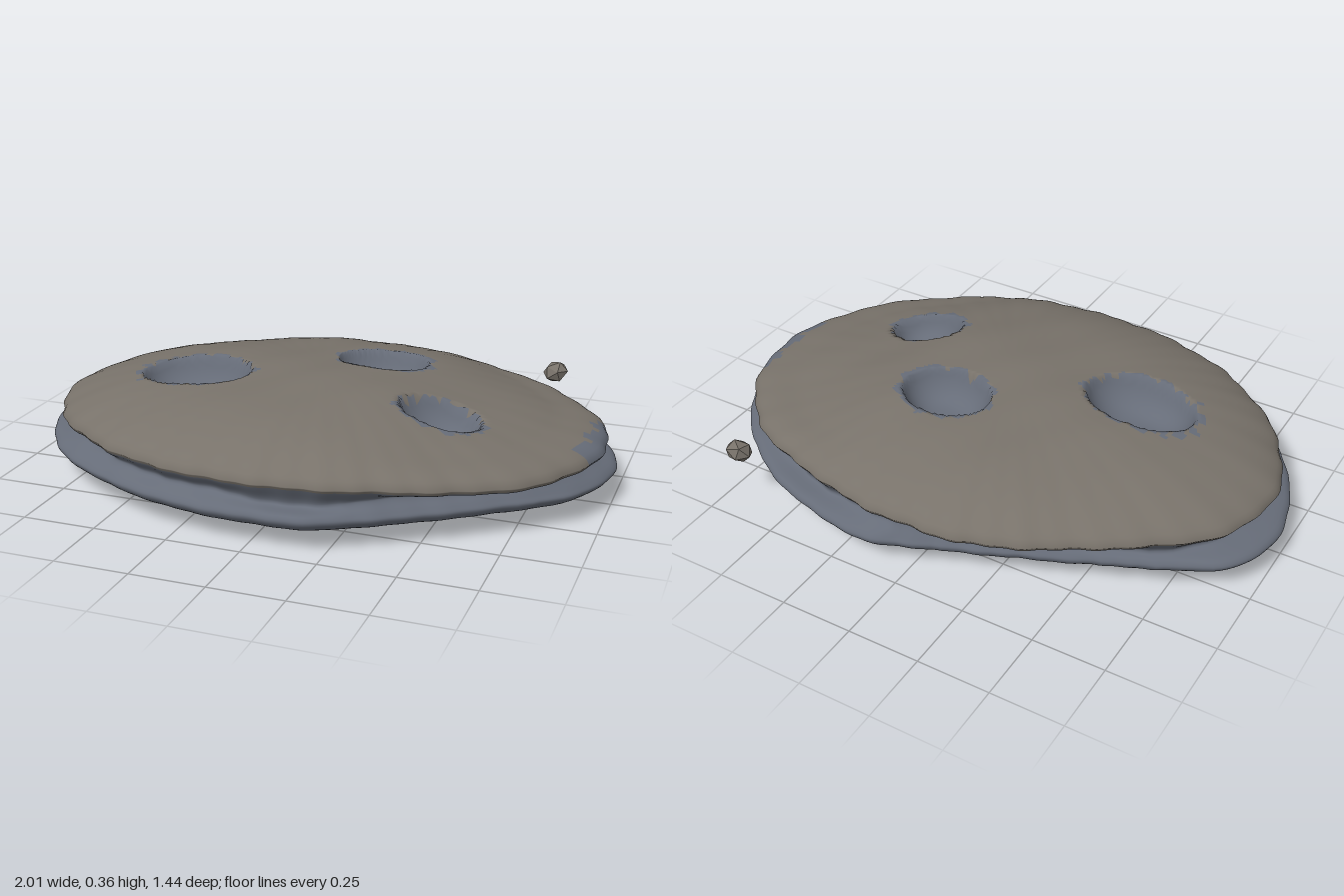
import * as THREE from 'three';

const SEGS = 240, TOP_ROWS = 70, SIDE_ROWS = 44;
const smooth = THREE.MathUtils.smoothstep;

// Outlines of the two stacked slabs, seen from above as [x, z]
const upperOutline = [[0.97, -0.03], [0.94, 0.12], [0.86, 0.29], [0.7, 0.45], [0.4, 0.61], [0.2, 0.67], [0, 0.69],
  [-0.2, 0.68], [-0.4, 0.635], [-0.6, 0.54], [-0.8, 0.37], [-0.91, 0.19], [-0.95, 0], [-0.91, -0.17], [-0.8, -0.32],
  [-0.6, -0.47], [-0.4, -0.59], [-0.2, -0.67], [0, -0.69], [0.2, -0.68], [0.4, -0.63], [0.62, -0.55], [0.8, -0.42], [0.93, -0.23]];
const lowerOutline = [[1, -0.04], [0.98, 0.08], [0.91, 0.21], [0.6, 0.46], [0.3, 0.65], [0.2, 0.7], [0, 0.715],
  [-0.2, 0.7], [-0.4, 0.65], [-0.6, 0.56], [-0.8, 0.42], [-0.9, 0.28], [-0.97, 0.13], [-1, -0.02], [-0.985, -0.13],
  [-0.93, -0.25], [-0.8, -0.33], [-0.35, -0.53], [0.05, -0.69], [0.13, -0.72], [0.3, -0.7], [0.5, -0.645], [0.68, -0.55],
  [0.82, -0.43], [0.92, -0.3], [0.98, -0.17]];

// Bowl-shaped pits sunk into the top
const pits = [
  { x: -0.425, z: 0.105, rx: 0.195, rz: 0.14, depth: 0.12 },
  { x: 0.155, z: -0.185, rx: 0.16, rz: 0.12, depth: 0.11 },
  { x: 0.46, z: 0.165, rx: 0.135, rz: 0.105, depth: 0.1 },
];

// Radius of a closed outline at each segment's angle
function outlineRadii(outline) {
  const curve = new THREE.CatmullRomCurve3(outline.map(([x, z]) => new THREE.Vector3(x, 0, z)), true, 'centripetal');
  const samples = curve.getPoints(1500);
  return Array.from({ length: SEGS }, (_, i) => {
    const a = (i / SEGS) * Math.PI * 2, c = Math.cos(a), s = Math.sin(a);
    let best = samples[0], bestDot = -1;
    for (const p of samples) {
      const dot = (p.x * c + p.z * s) / p.length();
      if (dot > bestDot) { bestDot = dot; best = p; }
    }
    return best.length();
  });
}

const lumps = (x, z) => 0.003 * (Math.sin(9 * x + 4 * z) + Math.sin(13 * z - 6 * x + 1) + 0.6 * Math.sin(23 * x + 17 * z));
const pitDistance = (p, x, z) => Math.hypot((x - p.x) / p.rx, (z - p.z) / p.rz);
const rimHeight = x => 0.205 - 0.025 * smooth(x, 0.3, 0.9) - 0.012 * smooth(-x, 0.6, 0.95);

function topHeight(x, z, rho) {
  let y = rimHeight(x) + 0.155 * Math.pow(1 - Math.pow(rho, 2.4), 0.62);
  y -= 0.025 * smooth(x, 0.25, 0.6) * (1 - smooth(rho, 0.8, 1));
  y += lumps(x, z) * (1 - rho * rho);
  for (const p of pits) {
    const d = pitDistance(p, x, z);
    if (d < 1) y -= p.depth * Math.pow(1 - Math.pow(d, 3), 0.8);
  }
  return y;
}

// Bare stone shows in the pits, along their ragged rims and on the worn right edge
function isBare(x, z) {
  const ragged = 0.07 * Math.sin(71 * x + 53 * z) + 0.06 * Math.sin(97 * z - 61 * x);
  if (pits.some(p => pitDistance(p, x, z) < 1.08 + ragged)) return true;
  return x > 0.9 + ragged * 0.25 && z > -0.26 && z < 0.12;
}

function createStone() {
  const upper = outlineRadii(upperOutline), lower = outlineRadii(lowerOutline);
  const rows = TOP_ROWS + SIDE_ROWS, stride = rows + 1;
  const positions = [], crust = [], bare = [];

  for (let i = 0; i < SEGS; i++) {
    const a = (i / SEGS) * Math.PI * 2, c = Math.cos(a), s = Math.sin(a);
    const chip = 0.004 * Math.sin(17 * a) + 0.003 * Math.sin(41 * a + 1);
    const U = upper[i] + chip, L = lower[i] - chip * 0.5, G = Math.min(U, L) * 0.95;
    const rim = rimHeight(U * c), wave = 0.01 * Math.sin(3 * a + 0.5) + 0.005 * Math.sin(8 * a);
    // Domed top
    for (let j = 0; j < TOP_ROWS; j++) {
      const t = j / TOP_ROWS, rho = t * (1.25 - 0.25 * t), r = rho * U;
      positions.push(r * c, topHeight(r * c, r * s, rho), r * s);
    }
    // Upper rim, groove, lower rim and underside
    const side = new THREE.CatmullRomCurve3([
      [U, rim], [U * 0.985, rim - 0.017], [G, 0.158 + wave], [G * 1.005, 0.145 + wave], [L * 0.985, 0.122],
      [L, 0.103], [L * 0.975, 0.078], [L * 0.86, 0.045], [L * 0.6, 0.02], [L * 0.3, 0.01], [0, 0.008],
    ].map(([r, y]) => new THREE.Vector3(r, y, 0)), false, 'centripetal');
    for (let j = 0; j <= SIDE_ROWS; j++) {
      const p = side.getPoint(j / SIDE_ROWS), x = p.x * c, z = p.x * s;
      const under = smooth(j / SIDE_ROWS, 0.6, 0.75);
      positions.push(x, p.y + lumps(x * 1.2, z) * under, z);
    }
  }

  for (let i = 0; i < SEGS; i++) {
    const a0 = i * stride, b0 = ((i + 1) % SEGS) * stride;
    for (let j = 0; j < rows; j++) {
      const a = a0 + j, b = b0 + j;
      const onTop = j < TOP_ROWS + 3 && !isBare(positions[a * 3], positions[a * 3 + 2]);
      const target = onTop ? crust : bare;
      if (j > 0) target.push(a, b, a + 1);
      if (j < rows - 1) target.push(b, b + 1, a + 1);
    }
  }

  // Both surfaces share one set of vertices, so shading runs on across their border
  const whole = new THREE.BufferGeometry();
  whole.setAttribute('position', new THREE.Float32BufferAttribute(positions, 3));
  whole.setIndex([...crust, ...bare]);
  whole.computeVertexNormals();
  return [crust, bare].map(index => {
    const g = new THREE.BufferGeometry();
    g.setAttribute('position', whole.getAttribute('position'));
    g.setAttribute('normal', whole.getAttribute('normal'));
    g.setIndex(index);
    return g;
  });
}

export function createModel() {
  const model = new THREE.Group();
  model.name = 'pittedStone';
  const crustMaterial = new THREE.MeshStandardMaterial({ color: 0x78726a });
  const stoneMaterial = new THREE.MeshStandardMaterial({ color: 0x666c78 });
  const add = (name, geometry, material) => {
    const mesh = new THREE.Mesh(geometry, material);
    mesh.name = name;
    model.add(mesh);
    return mesh;
  };

  const [crust, bare] = createStone();
  add('topCrust', crust, crustMaterial);
  add('bareStone', bare, stoneMaterial);

  // Loose pebble beside the back edge
  const pebbleMaterial = crustMaterial.clone();
  pebbleMaterial.flatShading = true;
  const pebble = add('pebble', new THREE.IcosahedronGeometry(0.046, 0), pebbleMaterial);
  pebble.position.set(0.67, 0.215, -0.665);
  pebble.scale.set(1.05, 0.85, 0.95);
  pebble.rotation.set(0.3, 0.5, 0.2);
  return model;
}
